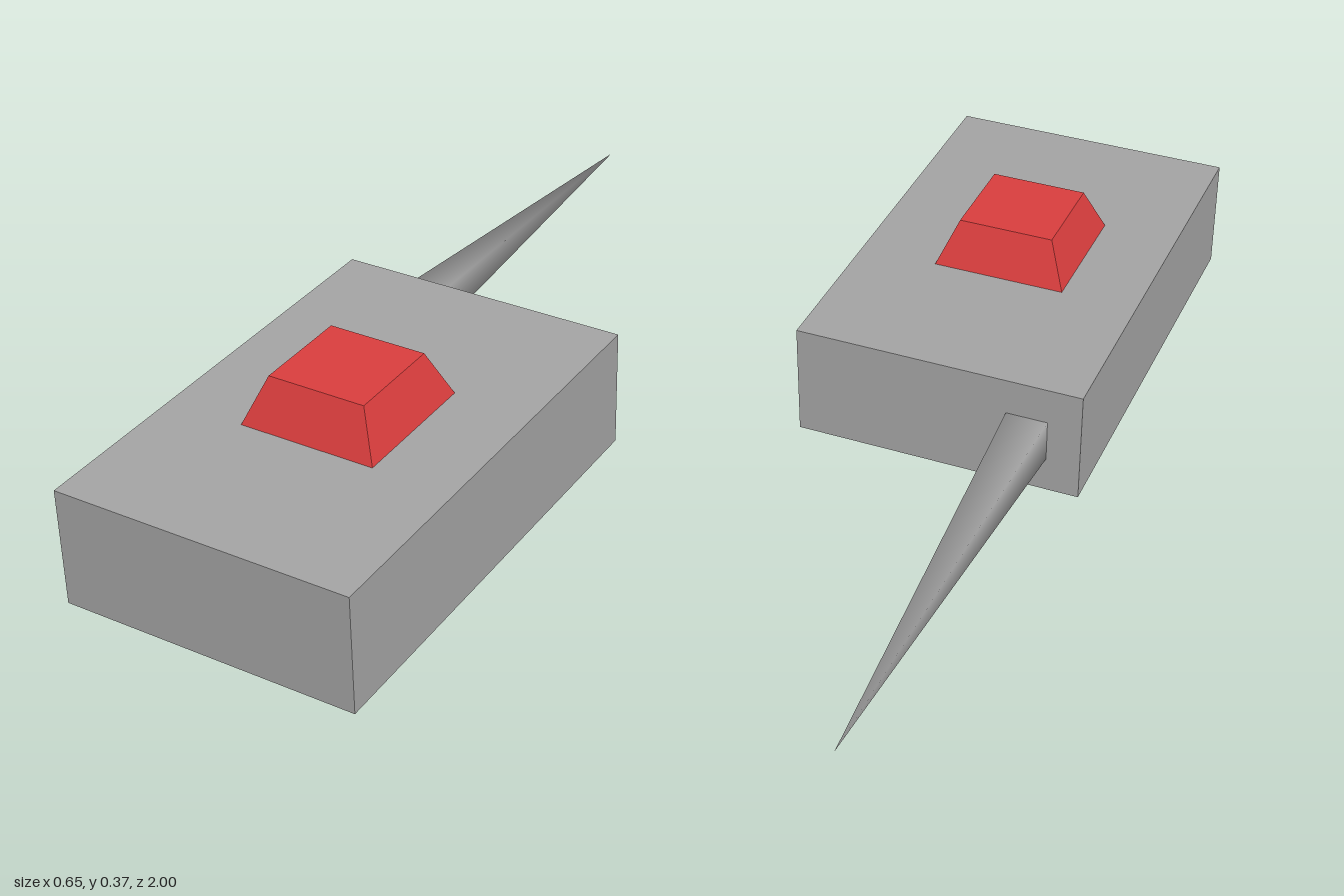
import * as THREE from 'three';

export function createModel() {
  const group = new THREE.Group();
  const grey = new THREE.MeshStandardMaterial({ color: 0xa3a3a3 });
  grey.name = 'grey';
  const red = new THREE.MeshStandardMaterial({ color: 0xd83d3d });
  red.name = 'red';

  const add = (name, geometry, material, parent) => {
    const mesh = new THREE.Mesh(geometry, material);
    mesh.name = name;
    parent.add(mesh);
    return mesh;
  };

  // Case and button lean together, the rear slightly raised
  const device = new THREE.Group();
  device.name = 'device';
  device.position.set(0, 0.14, 0.492);
  device.rotation.x = 0.0185;
  group.add(device);

  add('case', new THREE.BoxGeometry(0.65, 0.26, 1.008), grey, device);

  // Square button with sloping sides
  const frustum = new THREE.CylinderGeometry(0.108 * Math.SQRT2, 0.151 * Math.SQRT2, 0.103, 4)
    .rotateY(Math.PI / 4).toNonIndexed();
  frustum.computeVertexNormals();
  add('button', frustum, red, device).position.set(-0.003, 0.1795, 0.002);

  // Four-sided spike at the rear, smooth shaded across its shared corners
  const spike = new THREE.BufferGeometry();
  spike.setAttribute('position', new THREE.Float32BufferAttribute([
    -0.25, 0.10, -0.012,
    -0.157, 0.10, -0.012,
    -0.157, 0.197, -0.012,
    -0.25, 0.197, -0.012,
    -0.2, 0.156, -1,
  ], 3));
  const faces = [];
  for (let i = 0; i < 4; i++) faces.push((i + 1) % 4, i, 4);
  spike.setIndex(faces);
  spike.computeVertexNormals();
  add('spike', spike, grey, group);

  return group;
}
